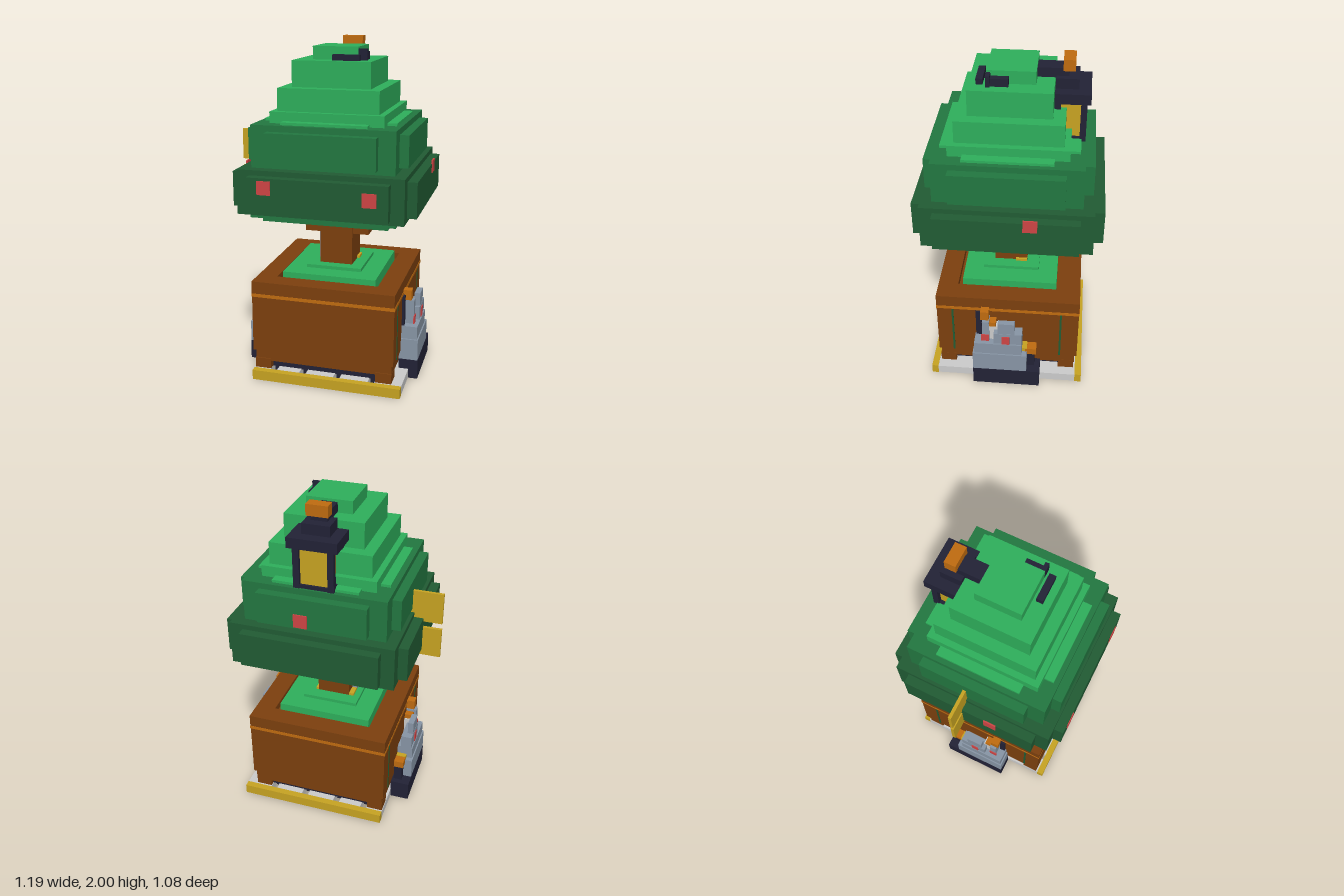
import * as THREE from 'three';

const mat = (name, color) => {
  const m = new THREE.MeshStandardMaterial({ color });
  m.name = name;
  return m;
};

export function createModel() {
  const root = new THREE.Group();
  root.name = 'pottedTree';

  const leafDark = mat('dark leaf green', 0x215c34);
  const leafMid = mat('mid leaf green', 0x237841);
  const leafLight = mat('light leaf green', 0x2eb05c);
  const brown = mat('wood brown', 0x7d400e);
  const orange = mat('orange wood', 0xc06c10);
  const yellow = mat('yellow', 0xc8a422);
  const dark = mat('near black', 0x222236);
  const grey = mat('stone grey', 0x8896a6);
  const white = mat('pale grey', 0xcccccc);
  const red = mat('red', 0xd04545);

  const section = (name) => {
    const g = new THREE.Group();
    g.name = name;
    root.add(g);
    return g;
  };
  // Box given by its limits on each axis
  const box = (parent, name, m, x0, x1, y0, y1, z0, z1) => {
    const mesh = new THREE.Mesh(new THREE.BoxGeometry(x1 - x0, y1 - y0, z1 - z0), m);
    mesh.position.set((x0 + x1) / 2, (y0 + y1) / 2, (z0 + z1) / 2);
    mesh.name = name;
    parent.add(mesh);
    return mesh;
  };
  // Box centred on the tree axis, given by half sizes
  const CX = 0.051, CZ = -0.006;
  const tier = (parent, name, m, hx, hz, y0, y1) =>
    box(parent, name, m, CX - hx, CX + hx, y0, y1, CZ - hz, CZ + hz);

  // Pallet
  const pallet = section('pallet');
  box(pallet, 'palletUnderside', dark, -0.36, 0.44, 0, 0.05, -0.34, 0.34);
  const slabs = [[-0.37, -0.27], [-0.23, -0.09], [-0.05, 0.12], [0.16, 0.33], [0.37, 0.53]];
  for (const [x0, x1] of slabs) box(pallet, 'palletSlab', white, x0, x1, 0.004, 0.058, -0.43, 0.43);
  for (const z of [-0.45, 0.45]) box(pallet, 'palletEdge', yellow, -0.37, 0.53, 0, 0.06, z - 0.02, z + 0.02);

  // Planter
  const planter = section('planter');
  for (const sx of [-1, 1]) for (const sz of [-1, 1]) {
    const x = CX + sx * 0.37, z = sz * 0.37;
    box(planter, 'planterFoot', brown, x - 0.048, x + 0.048, 0.058, 0.12, z - 0.048, z + 0.048);
  }
  tier(planter, 'planterBaseGap', dark, 0.38, 0.38, 0.055, 0.11);
  tier(planter, 'planterPlinth', brown, 0.417, 0.417, 0.105, 0.175);
  tier(planter, 'planterBody', brown, 0.429, 0.43, 0.172, 0.57);
  tier(planter, 'planterBand', orange, 0.432, 0.433, 0.515, 0.535);
  for (const s of [-1, 1]) {
    const x = CX + s * 0.37, z = CZ + s * 0.371;
    box(planter, 'planterRim', brown, x - 0.06, x + 0.06, 0.535, 0.61, CZ - 0.431, CZ + 0.431);
    box(planter, 'planterRim', brown, CX - 0.31, CX + 0.31, 0.535, 0.61, z - 0.06, z + 0.06);
    for (const t of [-1, 1])
      box(planter, 'planterSeam', leafDark, CX + s * 0.43 - 0.002, CX + s * 0.43 + 0.002,
        0.175, 0.515, t * 0.328 - 0.006, t * 0.328 + 0.006);
  }
  tier(planter, 'lowerGrass', leafLight, 0.285, 0.285, 0.57, 0.635);
  tier(planter, 'upperGrass', leafLight, 0.17, 0.17, 0.63, 0.655);

  // Trunk
  const trunk = section('trunk');
  box(trunk, 'trunkPost', brown, -0.05, 0.15, 0.65, 0.9, -0.1, 0.1);
  box(trunk, 'trunkCore', orange, -0.04, 0.14, 0.9, 0.98, -0.07, 0.07);
  box(trunk, 'branchStub', brown, -0.15, -0.035, 0.845, 0.98, -0.08, 0.08);
  box(trunk, 'branchStub', brown, 0.135, 0.245, 0.845, 0.98, -0.08, 0.08);
  box(trunk, 'trunkPole', grey, -0.08, -0.05, 0.65, 0.85, -0.03, 0.01);
  box(trunk, 'trunkTrim', yellow, -0.08, 0.165, 0.65, 0.67, -0.1, -0.03);

  // Canopy: stacked tiers, some with raised plates on the four sides
  const canopy = section('canopy');
  const cross = (name, m, wide, narrow, y0, y1) => {
    tier(canopy, name, m, wide, narrow, y0, y1);
    tier(canopy, name, m, narrow, wide, y0, y1);
  };
  tier(canopy, 'canopyUnderside', leafMid, 0.37, 0.37, 0.97, 1.005);
  tier(canopy, 'canopyUnderside', leafMid, 0.425, 0.425, 1.003, 1.037);
  tier(canopy, 'lowerTier', leafDark, 0.481, 0.481, 1.035, 1.295);
  cross('lowerTierPlate', leafDark, 0.536, 0.404, 1.06, 1.265);
  tier(canopy, 'middleTier', leafMid, 0.416, 0.416, 1.29, 1.54);
  cross('middleTierPlate', leafMid, 0.469, 0.318, 1.32, 1.505);
  tier(canopy, 'upperTier', leafLight, 0.332, 0.332, 1.535, 1.605);
  cross('upperTierPlate', leafLight, 0.387, 0.25, 1.535, 1.555);
  tier(canopy, 'upperTier', leafLight, 0.296, 0.298, 1.6, 1.735);
  tier(canopy, 'upperTier', leafLight, 0.23, 0.23, 1.73, 1.885);
  tier(canopy, 'crown', leafLight, 0.134, 0.133, 1.88, 1.96);

  // Red berries on the sides
  const berries = section('berries');
  box(berries, 'berry', red, -0.29, -0.21, 1.17, 1.25, 0.527, 0.535);
  box(berries, 'berry', red, 0.31, 0.39, 1.14, 1.22, 0.527, 0.535);
  box(berries, 'berry', red, 0.583, 0.592, 1.21, 1.285, -0.18, -0.1);
  box(berries, 'berry', red, -0.493, -0.484, 1.2, 1.28, 0.1, 0.175);
  box(berries, 'berry', red, 0.07, 0.15, 1.33, 1.41, -0.482, -0.473);

  // Yellow tags
  const tags = section('tags');
  box(tags, 'upperTag', yellow, -0.595, -0.4, 1.245, 1.435, -0.057, -0.038);
  box(tags, 'lowerTag', yellow, -0.595, -0.37, 1.02, 1.205, -0.057, -0.038);

  // Small dark ornament near the crown
  const ornament = section('crownOrnament');
  box(ornament, 'ornamentBar', dark, 0.047, 0.205, 1.883, 1.918, 0.145, 0.183);
  box(ornament, 'ornamentArm', dark, 0.186, 0.225, 1.883, 1.93, 0.007, 0.127);
  box(ornament, 'ornamentTip', dark, 0.186, 0.238, 1.883, 1.95, 0.105, 0.128);

  // Lantern at the back
  const lantern = section('lantern');
  box(lantern, 'lanternGlass', yellow, -0.04, 0.142, 1.55, 1.785, -0.395, -0.24);
  for (const x of [-0.047, 0.149]) for (const z of [-0.398, -0.255])
    box(lantern, 'lanternPost', dark, x - 0.018, x + 0.018, 1.54, 1.785, z - 0.017, z + 0.017);
  box(lantern, 'lanternSill', dark, -0.06, 0.162, 1.535, 1.56, -0.41, -0.24);
  box(lantern, 'lanternRoof', dark, -0.092, 0.193, 1.78, 1.84, -0.434, -0.238);
  box(lantern, 'lanternCap', dark, -0.03, 0.13, 1.835, 1.9, -0.366, -0.24);
  box(lantern, 'lanternArm', dark, 0.003, 0.097, 1.89, 1.945, -0.31, -0.135);
  box(lantern, 'lanternKnob', orange, -0.013, 0.112, 1.935, 2, -0.343, -0.277);

  // Stone figures on both sides, mirrored about the tree axis
  for (const s of [1, -1]) {
    const figure = section(s > 0 ? 'leftFigure' : 'rightFigure');
    const part = (name, m, x0, x1, ...rest) =>
      s > 0 ? box(figure, name, m, x0, x1, ...rest) : box(figure, name, m, 0.102 - x1, 0.102 - x0, ...rest);
    part('figureBase', dark, 0.47, 0.585, 0, 0.12, -0.21, 0.2);
    part('figureBody', grey, 0.47, 0.583, 0.12, 0.25, -0.13, 0.2);
    part('figureChest', grey, 0.47, 0.575, 0.25, 0.33, -0.1, 0.19);
    part('figureShoulder', grey, 0.5, 0.567, 0.33, 0.41, -0.1, 0.07);
    part('figureHead', grey, 0.53, 0.565, 0.4, 0.49, -0.055, 0.045);
    part('figureTower', grey, 0.48, 0.545, 0.33, 0.48, 0.1, 0.142);
    part('towerCap', orange, 0.48, 0.53, 0.483, 0.545, 0.103, 0.153);
    part('towerBracket', orange, 0.48, 0.53, 0.435, 0.465, 0.06, 0.1);
    part('figureBack', white, 0.475, 0.53, 0.33, 0.435, 0.05, 0.1);
    part('figureShadowPost', dark, 0.475, 0.495, 0.33, 0.515, 0.15, 0.185);
    part('figureGem', red, 0.565, 0.572, 0.325, 0.39, -0.025, 0.022);
    part('towerGem', red, 0.543, 0.55, 0.325, 0.38, 0.1, 0.148);
    part('sidePost', dark, 0.48, 0.53, 0.12, 0.23, -0.175, -0.13);
    part('sideKnob', orange, 0.48, 0.54, 0.228, 0.272, -0.187, -0.12);
    part('sideTrim', yellow, 0.48, 0.54, 0.248, 0.276, -0.13, -0.08);
  }
  return root;
}
